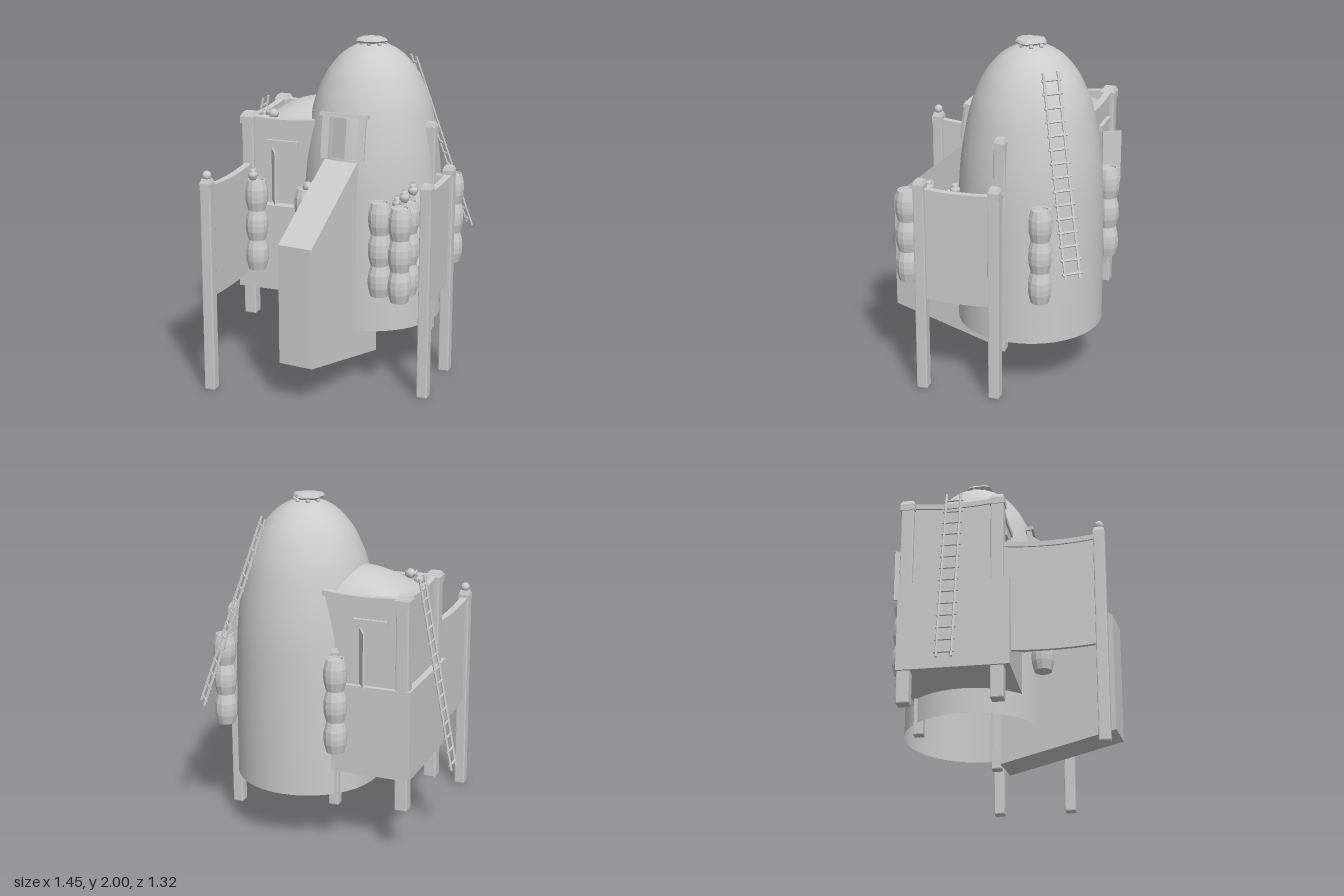
import * as THREE from 'three';
import { RoundedBoxGeometry } from 'three/addons/geometries/RoundedBoxGeometry.js';

const grey = new THREE.MeshStandardMaterial({ color: 0xcccccc });
const flat = new THREE.MeshStandardMaterial({ color: 0xcccccc, flatShading: true });
const both = new THREE.MeshStandardMaterial({ color: 0xcccccc, side: THREE.DoubleSide });
const V = (x, y, z) => new THREE.Vector3(x, y, z);
const CX = 0.185, CZ = -0.215; // tower axis

export function createModel() {
  const root = new THREE.Group();

  function add(name, geo, mat = flat, x = 0, y = 0, z = 0, parent = root) {
    const m = new THREE.Mesh(geo, mat);
    m.name = name;
    m.position.set(x, y, z);
    parent.add(m);
    return m;
  }
  function box(name, w, h, d, x, y, z, parent) {
    return add(name, new THREE.BoxGeometry(w, h, d), flat, x, y, z, parent);
  }
  function group(name) {
    const g = new THREE.Group();
    g.name = name;
    root.add(g);
    return g;
  }
  function lathe(pts, n) {
    return new THREE.LatheGeometry(pts.map(p => new THREE.Vector2(p[0], p[1])), n);
  }

  // Square post with softened edges and a chamfered head
  function post(name, x, z, y0, y1, w = 0.065, head = 0) {
    const g = group(name), top = y1 - 0.025;
    add('shaft', new RoundedBoxGeometry(w, top - y0, w, 1, 0.007), flat, x, (y0 + top) / 2, z, g);
    const hw = w + head;
    box('head', hw, 0.04, hw, x, top - 0.02, z, g);
    const cap = new THREE.CylinderGeometry(hw * 0.5, hw * 0.7071, 0.025, 4).rotateY(Math.PI / 4);
    add('cap', cap, flat, x, top + 0.0125, z, g);
  }

  // Upright panel from a to b (x, z) with sagging top and bottom edges
  function panel(name, a, b, y0, y1, sag0, sag1, thick) {
    const L = Math.hypot(b[0] - a[0], b[1] - a[1]);
    const s = new THREE.Shape();
    s.moveTo(0, y0);
    s.quadraticCurveTo(L / 2, y0 - 2 * sag0, L, y0);
    s.lineTo(L, y1);
    s.quadraticCurveTo(L / 2, y1 - 2 * sag1, 0, y1);
    const geo = new THREE.ExtrudeGeometry(s, { depth: thick, bevelEnabled: false, curveSegments: 8 });
    geo.translate(0, 0, -thick / 2);
    const m = add(name, geo, flat, a[0], 0, a[1]);
    m.rotation.y = Math.atan2(a[1] - b[1], b[0] - a[0]);
  }
  function wall(name, a, b, y0, y1, sag0, sag1) {
    panel(name, a, b, y0, y1 - 0.02, sag0, sag1, 0.022);
    panel(name + 'Rail', a, b, y1 - 0.03, y1, sag1, sag1, 0.042);
  }

  function rod(name, p, q, r, parent) {
    const d = q.clone().sub(p);
    const m = add(name, new THREE.CylinderGeometry(r, r, d.length(), 6), flat, 0, 0, 0, parent);
    m.position.copy(p).addScaledVector(d, 0.5);
    m.quaternion.setFromUnitVectors(V(0, 1, 0), d.normalize());
  }
  function ladder(name, top, bottom, side, rungs) {
    const g = group(name);
    for (const s of [-1, 1]) {
      rod('rail', top.clone().addScaledVector(side, s), bottom.clone().addScaledVector(side, s), 0.008, g);
    }
    for (let i = 0; i < rungs; i++) {
      const c = top.clone().lerp(bottom, (i + 0.6) / rungs);
      rod('rung', c.clone().addScaledVector(side, -1.35), c.clone().addScaledVector(side, 1.35), 0.007, g);
    }
  }

  // Egg-shaped tower, open below
  const profile = new THREE.SplineCurve([
    [0.425, 0.32], [0.424, 0.7], [0.418, 1.05], [0.408, 1.25], [0.386, 1.42], [0.349, 1.6],
    [0.31, 1.71], [0.258, 1.81], [0.18, 1.9], [0.09, 1.952], [0, 1.97],
  ].map(p => new THREE.Vector2(...p)));
  const pts = profile.getPoints(40);
  pts[40].x = 0;
  add('towerShell', new THREE.LatheGeometry(pts, 40), both, CX, 0, CZ);

  // Uneven cap with studs on top of the tower
  const cap = lathe([[0, -0.014], [0.075, -0.014], [0.088, -0.002], [0.08, 0.01], [0.035, 0.018], [0, 0.014]], 16);
  const p = cap.attributes.position;
  for (let i = 0; i < p.count; i++) {
    const a = Math.atan2(p.getZ(i), p.getX(i));
    const k = 1 + 0.07 * Math.sin(3 * a + 1) + 0.06 * Math.cos(5 * a);
    p.setXYZ(i, p.getX(i) * k, p.getY(i), p.getZ(i) * k);
  }
  add('towerCap', cap, flat, CX - 0.005, 1.982, CZ + 0.01);
  for (let i = 0; i < 7; i++) {
    const a = i / 7 * Math.PI * 2;
    add('capStud', new THREE.SphereGeometry(0.014, 8, 6), grey, CX + 0.07 * Math.sin(a), 1.963, CZ + 0.07 * Math.cos(a));
  }

  // Sloping entrance ramp, its ends slightly skewed
  const rs = new THREE.Shape([[0, 0.235], [0, 0.945], [0.47, 1.335], [0.7, 1.335], [0.7, 0.115]]
    .map(q => new THREE.Vector2(...q)));
  const rampGeo = new THREE.ExtrudeGeometry(rs, { depth: 0.21, bevelEnabled: false }).translate(0, 0, -0.105);
  rampGeo.applyMatrix4(new THREE.Matrix4().makeShear(0, 0, 0, 0, 0.09, 0));
  add('ramp', rampGeo, flat, 0.033, 0, 0.643).rotation.y = Math.atan2(0.978, 0.21);

  // Tower doorway, leaning with the shell
  const door = group('towerDoorway');
  door.position.set(0.14, 1.47, 0.165);
  door.rotation.x = -0.16;
  box('lintel', 0.29, 0.022, 0.05, 0, 0.13, -0.01, door);
  for (const s of [-1, 1]) box('jamb', 0.045, 0.25, 0.03, s * 0.11, 0, -0.015, door);
  box('doorPanel', 0.11, 0.23, 0.015, -0.015, 0, 0.012, door).rotation.y = -0.45;

  // Side room: base block, walls, roof, corner posts
  box('roomBase', 0.505, 0.53, 0.64, -0.3025, 0.735, -0.22);
  const W = -0.505, F = 0.025, B = -0.5;
  wall('roomFrontWall', [W, F], [-0.08, F], 1, 1.53, 0, 0.015);
  wall('roomBackWall', [W, B], [-0.03, B], 1, 1.53, 0, 0.015);
  wall('roomSideWall', [W, B], [W, F], 1, 1.53, 0, 0.02);
  const roof = new THREE.PlaneGeometry(1, 1, 14, 16);
  const rp = roof.attributes.position;
  for (let i = 0; i < rp.count; i++) {
    const u = rp.getX(i) + 0.5, v = 0.5 - rp.getY(i);
    const h = Math.pow(Math.sin(u * Math.PI * 0.6), 0.8) * Math.pow(Math.max(0, Math.sin(v * Math.PI)), 0.6);
    rp.setXYZ(i, -0.5 + 0.42 * u, 1.45 + 0.165 * h, B + (F - B) * v);
  }
  roof.computeVertexNormals();
  add('roomRoof', roof, both);
  post('roomCornerPost', W, F, 0.28, 1.545, 0.075, 0.012);
  post('roomCornerPost', W, B, 0.28, 1.545, 0.075, 0.012);
  post('roomInnerPost', -0.095, B, 0.25, 1.2, 0.06);

  // Room doors ajar under lintels
  for (const [z, s, x] of [[F, 1, -0.285], [B, -1, -0.315]]) {
    box('roomLintel', 0.2, 0.035, 0.03, x, 1.372, z + s * 0.018);
    box('roomDoor', 0.115, 0.32, 0.01, x - s * 0.035 + (s < 0 ? -0.005 : 0), 1.18, z + s * 0.075).rotation.y = -1.03;
  }

  // Fences and their posts
  wall('leftFence', [-0.515, 0.6], [W, F], 0.57, 1.24, 0.015, 0.02);
  wall('rightFence', [0.683, 0.28], [0.683, -0.16], 0.57, 1.235, 0.012, 0.012);
  wall('rightFenceReturn', [0.683, -0.16], [0.575, -0.16], 0.57, 1.22, 0, 0);
  post('fencePost', -0.515, 0.605, 0, 1.28);
  post('fencePost', 0.683, 0.28, 0, 1.28);
  post('fencePost', 0.683, -0.155, 0, 1.28);
  post('tallPost', 0.57, -0.155, 0.25, 1.53);
  add('postBall', new THREE.SphereGeometry(0.027, 12, 8), grey, -0.515, 1.298, 0.605);

  // Ladders
  ladder('roomLadder', V(-0.513, 1.58, -0.235), V(-0.722, 0.46, -0.235), V(0, 0, 0.042), 14);
  ladder('towerLadder', V(0.383, 1.87, -0.378), V(0.688, 0.8, -0.605), V(0.027, 0, 0.034), 15);

  // Stacks of three barrels
  const barrel = lathe([[0, 0], [0.052, 0], [0.066, 0.055], [0.068, 0.09], [0.066, 0.13], [0.052, 0.184],
    [0.044, 0.184], [0.042, 0.174], [0, 0.174]], 12);
  const stacks = [[-0.41, 0.155], [-0.068, 0.22], [-0.135, -0.595], [0.637, -0.403],
    [0.57, 0.105], [0.57, 0.265], [0.57, 0.405], [0.43, 0.345]];
  for (const [x, z] of stacks) {
    const g = group('barrelStack');
    for (let i = 0; i < 3; i++) add('barrel', barrel, flat, x, 0.615 + i * 0.184, z, g);
  }

  // Small jars
  const jar = lathe([[0, 0], [0.016, 0], [0.03, 0.025], [0.027, 0.042], [0.012, 0.054], [0.02, 0.07], [0, 0.066]], 12);
  const jars = [[-0.43, 1.165, 0.16], [0.55, 1.16, 0.12], [0.55, 1.16, 0.275], [0.475, 1.09, 0.175],
    [-0.43, 1.475, -0.035]];
  for (const [x, y, z] of jars) add('jar', jar, grey, x, y, z);
  add('ledgePot', lathe([[0, 0], [0.022, 0], [0.026, 0.05], [0.02, 0.09], [0, 0.085]], 10), grey, -0.16, 1, 0.07);
  add('lyingJar', jar, grey, -0.08, 1.165, 0.22).rotation.z = -1.1;
  add('lyingJar', jar, grey, -0.345, 1.53, -0.025).rotation.z = 1.45;

  return root;
}
